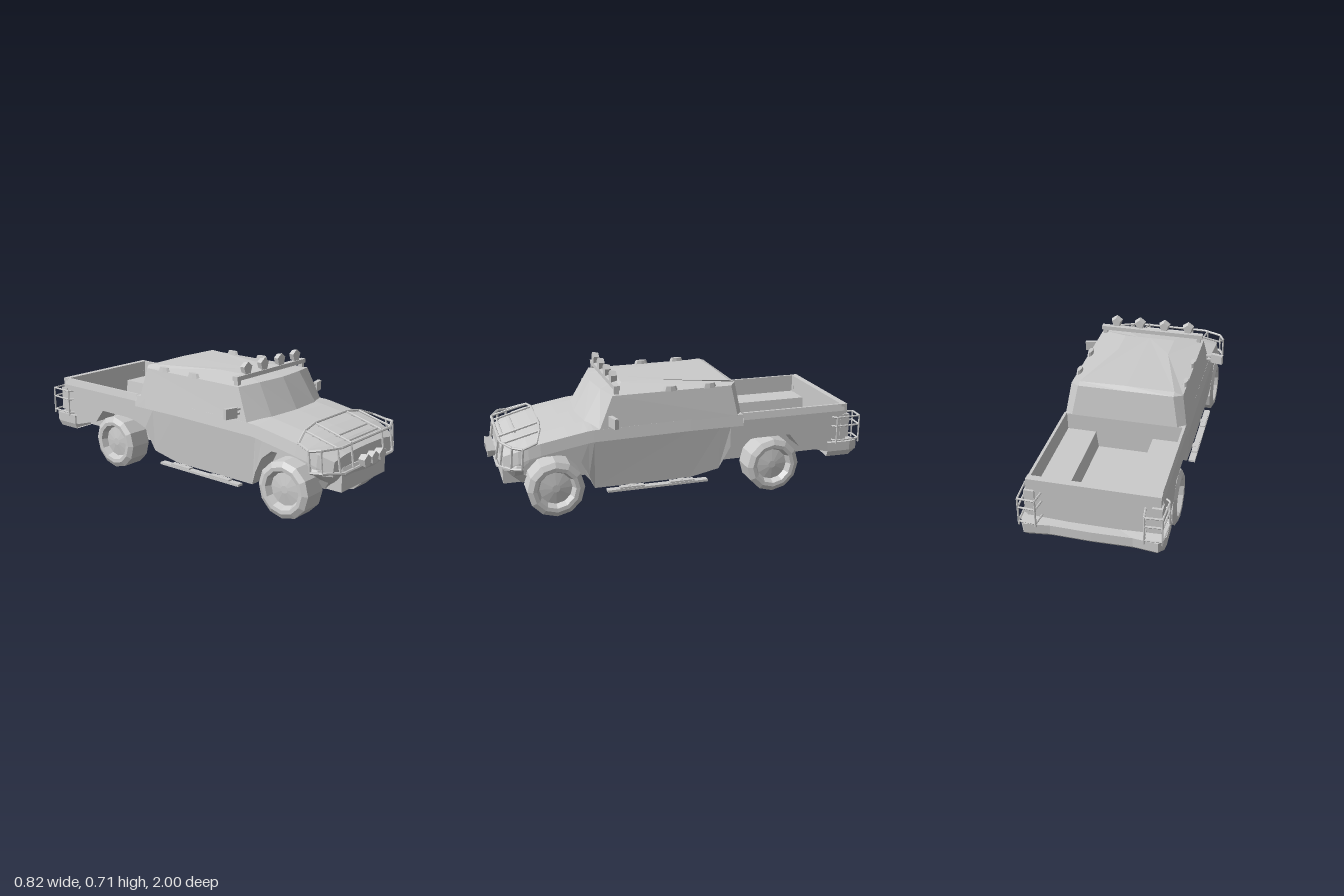
import * as THREE from 'three';

const material = new THREE.MeshStandardMaterial({ color: 0xcccccc, flatShading: true });

function addMesh(parent, name, geometry, x = 0, y = 0, z = 0) {
  const mesh = new THREE.Mesh(geometry, material);
  mesh.name = name;
  mesh.position.set(x, y, z);
  parent.add(mesh);
  return mesh;
}

const box = (parent, name, w, h, d, x, y, z) => addMesh(parent, name, new THREE.BoxGeometry(w, h, d), x, y, z);

// Skin half-sections (x >= 0, mirrored into closed rings) from one end to the other
function loft(halves, caps = true) {
  const rings = halves.map(half => {
    const other = half.filter(p => p[0] > 0).reverse().map(([x, y, z]) => [-x, y, z]);
    return [...half, ...other];
  });
  const n = rings[0].length, pos = [];
  const tri = (a, b, c) => pos.push(...a, ...b, ...c);
  for (let s = 0; s < rings.length - 1; s++) {
    const a = rings[s], b = rings[s + 1];
    for (let i = 0; i < n; i++) {
      const j = (i + 1) % n;
      tri(a[i], a[j], b[i]);
      tri(a[j], b[j], b[i]);
    }
  }
  if (caps) {
    const a = rings[0], b = rings[rings.length - 1];
    for (let i = 1; i < n - 1; i++) {
      tri(a[0], a[i + 1], a[i]);
      tri(b[0], b[i], b[i + 1]);
    }
  }
  const geometry = new THREE.BufferGeometry();
  geometry.setAttribute('position', new THREE.Float32BufferAttribute(pos, 3));
  geometry.computeVertexNormals();
  return geometry;
}

// Chain of thin straight bars through the given points
function bars(parent, name, points, r = 0.006) {
  for (let i = 0; i < points.length - 1; i++) {
    const a = new THREE.Vector3(...points[i]), b = new THREE.Vector3(...points[i + 1]);
    const dir = b.clone().sub(a);
    const mesh = addMesh(parent, name, new THREE.CylinderGeometry(r, r, dir.length(), 6));
    mesh.position.copy(a).add(b).multiplyScalar(0.5);
    mesh.quaternion.setFromUnitVectors(new THREE.Vector3(0, 1, 0), dir.normalize());
  }
}

const mirrored = half => [...half.map(([x, y, z]) => [-x, y, z]).reverse(), ...half];

// Five-sided lamp facing forward
function lamp(parent, name, x, y, z, len) {
  const g = new THREE.CylinderGeometry(0.034, 0.026, len, 5);
  g.rotateX(Math.PI / 2).rotateZ(Math.PI);
  addMesh(parent, name, g, x, y, z);
}

function addBody(truck) {
  // Hood, fenders and doors: z, centre height, shoulder height, half width, sill half width, lower edge
  const stations = [
    [0.94, 0.35, 0.33, 0.28, 0.28, 0.26], [0.87, 0.385, 0.36, 0.315, 0.315, 0.26],
    [0.82, 0.4, 0.38, 0.325, 0.325, 0.31], [0.76, 0.415, 0.395, 0.33, 0.33, 0.33],
    [0.62, 0.44, 0.42, 0.33, 0.33, 0.33], [0.56, 0.45, 0.43, 0.33, 0.33, 0.28],
    [0.52, 0.456, 0.437, 0.33, 0.325, 0.2], [0.49, 0.46, 0.44, 0.33, 0.31, 0.125],
    [-0.02, 0.46, 0.45, 0.33, 0.31, 0.125], [-0.18, 0.46, 0.45, 0.33, 0.315, 0.16],
    [-0.24, 0.46, 0.45, 0.33, 0.33, 0.28], [-0.31, 0.46, 0.45, 0.33, 0.33, 0.305]];
  addMesh(truck, 'hoodAndDoors', loft(stations.map(([z, top, side, w, sill, low]) => [
    [0, top, z], [w * 0.6, top - 0.004, z], [w - 0.01, side, z], [w, Math.max(side - 0.06, low), z],
    [sill, low, z], [0.2, low, z], [0.2, 0.16, z], [0, 0.16, z]])));

  // Open cargo bed with a raised ledge on each side
  const bed = [[-0.31, 0.305], [-0.38, 0.315], [-0.58, 0.315], [-0.64, 0.24], [-0.8, 0.195], [-0.9, 0.19]];
  addMesh(truck, 'cargoBed', loft(bed.map(([z, low]) => [
    [0, 0.27, z], [0.14, 0.27, z], [0.152, 0.36, z], [0.305, 0.36, z], [0.308, 0.457, z], [0.322, 0.457, z],
    [0.33, 0.42, z], [0.33, low, z], [0.2, low, z], [0.2, 0.16, z], [0, 0.16, z]]), false));
  box(truck, 'tailgate', 0.65, 0.285, 0.035, 0, 0.3145, -0.9);

  // Cab: belt line, roof edge, crowned roof
  addMesh(truck, 'cab', loft([
    [[0, 0.455, 0.53], [0.19, 0.45, 0.515], [0.32, 0.435, 0.46], [0.322, 0.445, -0.28], [0.28, 0.45, -0.312], [0, 0.45, -0.312]],
    [[0, 0.612, 0.44], [0.17, 0.61, 0.42], [0.295, 0.603, 0.385], [0.295, 0.606, -0.25], [0.25, 0.612, -0.285], [0, 0.612, -0.285]],
    [[0, 0.628, 0.3], [0.07, 0.628, 0.3], [0.14, 0.628, 0.3], [0.14, 0.628, 0.13], [0.25, 0.622, -0.255], [0, 0.626, -0.255]]]));

  // Front bumper tapering to a narrow skid plate
  addMesh(truck, 'frontBumper', loft([
    [[0, 0.16, 0.87], [0.14, 0.16, 0.87], [0.2, 0.155, 0.845], [0.2, 0.16, 0.78], [0, 0.16, 0.78]],
    [[0, 0.205, 0.93], [0.14, 0.2, 0.93], [0.23, 0.205, 0.885], [0.23, 0.21, 0.84], [0, 0.2, 0.8]],
    [[0, 0.265, 0.96], [0.2, 0.265, 0.95], [0.33, 0.27, 0.89], [0.33, 0.27, 0.85], [0, 0.27, 0.82]],
    [[0, 0.285, 0.95], [0.2, 0.285, 0.94], [0.32, 0.29, 0.88], [0.32, 0.29, 0.85], [0, 0.29, 0.82]]]));

  // Rear bumper wrapping the corners
  const rear = (y, s) => [[0, y, -0.84], [0.3, y, -0.84], [0.352 * s, y + 0.01, -0.8],
    [0.355 * s, y + 0.01, -0.93], [0.325 * s, y + 0.005, -0.985 * s], [0.2, y, -0.965 * s], [0, y, -0.97 * s]];
  addMesh(truck, 'rearBumper', loft([rear(0.16, 0.97), rear(0.19, 1), rear(0.24, 1)]));
}

function addWheel(truck, name, side, z) {
  // Twelve-sided tyre with chamfered shoulder and recessed rim
  const profile = [[0, -0.07], [0.13, -0.07], [0.147, -0.066], [0.147, 0.055], [0.12, 0.07],
    [0.1, 0.068], [0.085, 0.035], [0.02, 0.045], [0, 0.045]].map(p => new THREE.Vector2(...p));
  const wheel = addMesh(truck, name, new THREE.LatheGeometry(profile, 12), side * 0.27, 0.147, z);
  wheel.rotation.z = -side * Math.PI / 2;
}

function addBullBar(truck) {
  const g = new THREE.Group();
  g.name = 'bullBar';
  truck.add(g);
  bars(g, 'lowerRail', mirrored([[0.22, 0.268, 0.965], [0.325, 0.28, 0.91], [0.35, 0.28, 0.86]]), 0.008);
  bars(g, 'middleRail', mirrored([[0.22, 0.39, 0.945], [0.325, 0.39, 0.9], [0.352, 0.385, 0.85]]), 0.007);
  bars(g, 'upperRail', mirrored([[0.14, 0.455, 0.74], [0.24, 0.44, 0.75], [0.335, 0.405, 0.78], [0.352, 0.385, 0.85]]));
  for (const [y, z] of [[0.4, 0.925], [0.41, 0.86]]) bars(g, 'crossRail', [[-0.14, y, z], [0.14, y, z]], 0.005);
  for (const s of [-1, 1]) {
    bars(g, 'innerUpright', [[s * 0.14, 0.268, 0.965], [s * 0.14, 0.395, 0.945], [s * 0.14, 0.452, 0.74]]);
    bars(g, 'outerUpright', [[s * 0.24, 0.27, 0.955], [s * 0.24, 0.39, 0.935], [s * 0.24, 0.438, 0.75]]);
    bars(g, 'cornerUpright', [[s * 0.325, 0.28, 0.91], [s * 0.325, 0.39, 0.9]]);
    bars(g, 'sideUpright', [[s * 0.35, 0.28, 0.86], [s * 0.352, 0.385, 0.85]]);
  }
  for (const x of [-0.07, 0, 0.07]) lamp(g, 'bumperLamp', x, 0.298, 0.98, 0.04);
}

function addSide(truck, s) {
  // Wing mirror on two arms
  const mirror = box(truck, 'mirror', 0.068, 0.053, 0.022, s * 0.374, 0.488, 0.4);
  mirror.rotation.y = s * 0.25;
  for (const y of [0.478, 0.5]) box(truck, 'mirrorArm', 0.06, 0.009, 0.012, s * 0.325, y, 0.405);

  // Side step with two tread pads and brackets
  box(truck, 'sideStep', 0.035, 0.012, 0.54, s * 0.33, 0.112, 0.16);
  for (const z of [0.3, 0.03]) {
    box(truck, 'stepPad', 0.03, 0.008, 0.13, s * 0.33, 0.122, z);
    box(truck, 'stepBracket', 0.08, 0.01, 0.03, s * 0.29, 0.122, z);
  }

  // Roof edge marker lights
  for (const z of [0.08, -0.13]) {
    const marker = addMesh(truck, 'roofMarker', new THREE.CylinderGeometry(0.012, 0.016, 0.025, 8), s * 0.285, 0.615, z);
    marker.scale.z = 2.6;
  }

  // Tail light and its wire guard
  box(truck, 'tailLight', 0.05, 0.13, 0.05, s * 0.308, 0.335, -0.905);
  const corners = [[0.33, -0.83], [0.352, -0.85], [0.345, -0.985], [0.26, -0.99]];
  for (const y of [0.26, 0.34, 0.39])
    bars(truck, 'tailGuardRail', [...corners, [0.25, -0.91]].map(([x, z]) => [s * x, y, z]), 0.005);
  for (const [x, z] of corners.slice(1))
    bars(truck, 'tailGuardUpright', [[s * x, 0.24, z], [s * x, 0.39, z]], 0.005);

  addWheel(truck, 'frontWheel', s, 0.69);
  addWheel(truck, 'rearWheel', s, -0.49);

  // Light bar support
  box(truck, 'lightBarPost', 0.022, 0.04, 0.025, s * 0.272, 0.618, 0.36);
}

export function createModel() {
  const truck = new THREE.Group();
  truck.name = 'pickupTruck';
  addBody(truck);
  addBullBar(truck);
  for (const s of [-1, 1]) addSide(truck, s);

  // Roof light bar
  box(truck, 'lightBar', 0.584, 0.022, 0.03, 0, 0.64, 0.36);
  for (const x of [-0.207, -0.071, 0.071, 0.207]) lamp(truck, 'roofLamp', x, 0.681, 0.36, 0.032);
  return truck;
}
